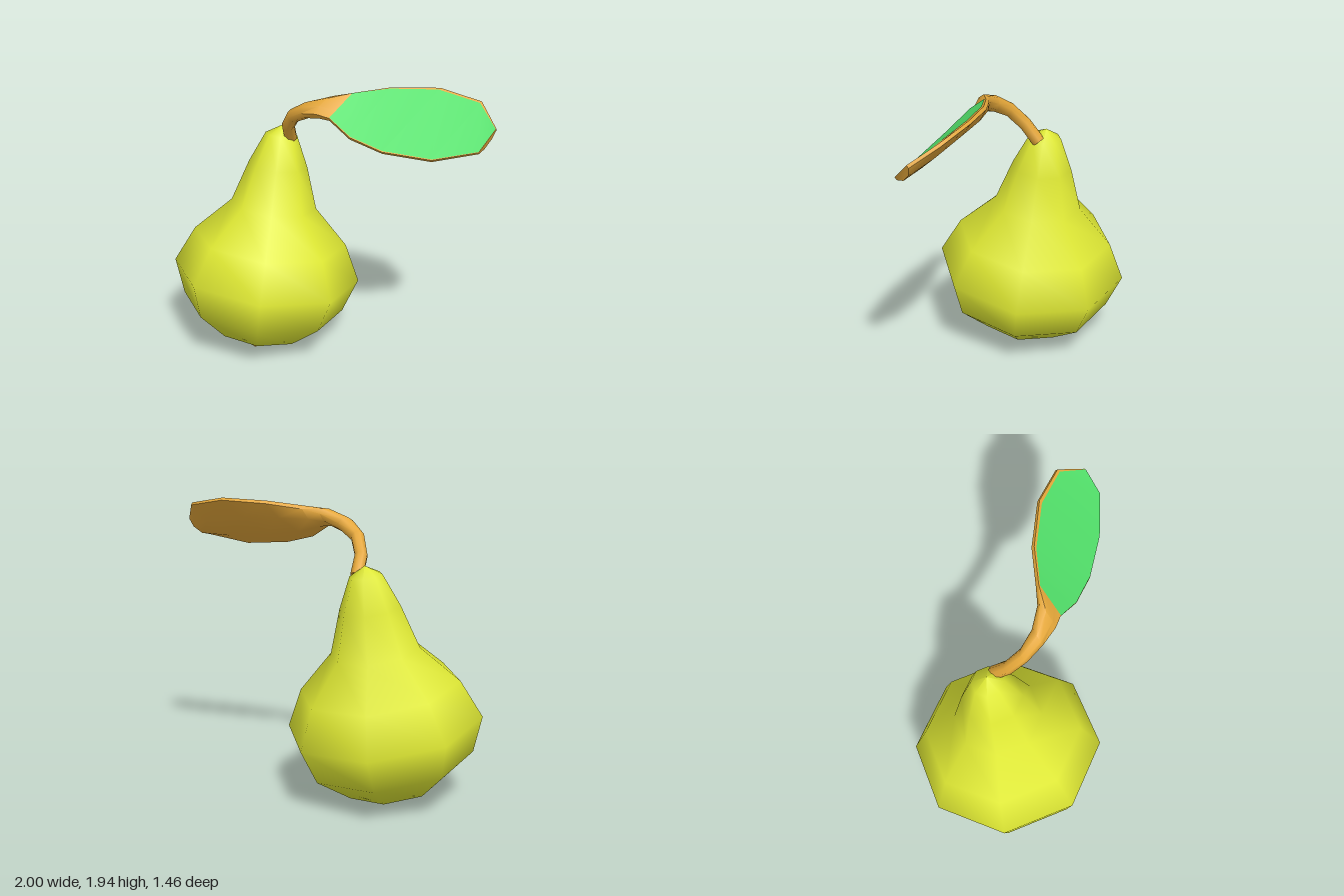
import * as THREE from 'three';
import { toCreasedNormals } from 'three/addons/utils/BufferGeometryUtils.js';

const V = (x, y, z) => new THREE.Vector3(x, y, z);

const skin = new THREE.MeshStandardMaterial({ color: 0xdfe934 });
const wood = new THREE.MeshStandardMaterial({ color: 0xe6a83a });
const green = new THREE.MeshStandardMaterial({ color: 0x52e06a });

function add(parent, name, geometry, material) {
  const mesh = new THREE.Mesh(geometry, material);
  mesh.name = name;
  parent.add(mesh);
  return mesh;
}

function indexed(points, index) {
  const g = new THREE.BufferGeometry().setFromPoints(points);
  g.setIndex(index);
  g.computeVertexNormals();
  return g;
}

// Cross-sections of stalk and leaf: upper edge a, lower edge b,
// bulge on the front (tf) and on the back (tb)
function stalkSections() {
  const across = V(0, 0.53, -0.85);
  const round = (x, y, z, r, t) => ({
    a: V(x, y, z).addScaledVector(across, r),
    b: V(x, y, z).addScaledVector(across, -r), tf: t, tb: t,
  });
  const flat = (a, b, tb) => ({ a: V(...a), b: V(...b), tf: 0, tb });
  return [
    round(-0.28, 1.5, -0.08, 0.04, 0.04),
    round(-0.22, 1.615, -0.01, 0.04, 0.04),
    round(-0.12, 1.72, 0.025, 0.042, 0.042),
    round(0, 1.785, 0.012, 0.054, 0.048),
    round(0.12, 1.825, -0.04, 0.085, 0.045),
    flat([0.2, 1.905, -0.2], [0.2, 1.78, 0], 0.07),
    flat([0.34, 1.935, -0.4], [0.36, 1.69, -0.03], 0.06),
    flat([0.57, 1.945, -0.61], [0.56, 1.63, -0.12], 0.05),
    flat([0.82, 1.895, -0.72], [0.81, 1.605, -0.3], 0.05),
    flat([1, 1.78, -0.66], [1, 1.66, -0.51], 0.05),
  ];
}

// Adds centre, half width and front normal to each section
function frameSections(sections) {
  for (const s of sections) {
    s.c = s.a.clone().add(s.b).multiplyScalar(0.5);
    s.w = s.a.clone().sub(s.c);
  }
  sections.forEach((s, i) => {
    const prev = sections[Math.max(i - 1, 0)];
    const next = sections[Math.min(i + 1, sections.length - 1)];
    s.n = next.c.clone().sub(prev.c).cross(s.w).normalize();
  });
  return sections;
}

function loft(sections, sides = 8) {
  const points = [], index = [];
  sections.forEach((s, i) => {
    for (let k = 0; k < sides; k++) {
      const th = ((k + 0.5) / sides) * Math.PI * 2;
      const u = Math.cos(th) / 0.924, v = Math.sin(th) / 0.924;
      points.push(s.c.clone().addScaledVector(s.w, u)
        .addScaledVector(s.n, v * (v > 0 ? s.tf : s.tb)));
      if (i === sections.length - 1) continue;
      const p = i * sides + k, q = i * sides + (k + 1) % sides;
      index.push(p, q, p + sides, q, q + sides, p + sides);
    }
  });
  const last = (sections.length - 1) * sides;
  for (let k = 1; k < sides - 1; k++) {
    index.push(0, k + 1, k, last, last + k, last + k + 1); // end caps
  }
  return toCreasedNormals(indexed(points, index), 0.9);
}

// Green blade lying on the flat front, leaving a thin rim
function blade(sections) {
  const points = [], index = [];
  sections.forEach((s, i) => {
    for (const u of [0.93, -0.98]) {
      points.push(s.c.clone().addScaledVector(s.w, u).addScaledVector(s.n, 0.006));
    }
    if (i < sections.length - 1) {
      const p = i * 2;
      index.push(p, p + 1, p + 3, p, p + 3, p + 2);
    }
  });
  return indexed(points, index);
}

export function createModel() {
  const model = new THREE.Group();
  model.name = 'pear';

  // Fruit leans back slightly
  const fruit = new THREE.Group();
  fruit.name = 'fruit';
  fruit.position.set(-0.35, 0, 0.168);
  fruit.rotation.set(-0.147, 0.046, 0);
  model.add(fruit);

  const profile = [
    [0, 0.15], [0.334, 0.09], [0.566, 0.288], [0.65, 0.53], [0.53, 0.784],
    [0.293, 1.026], [0.2, 1.314], [0.107, 1.527], [0, 1.59],
  ].map(([r, y]) => new THREE.Vector2(r, y));
  add(fruit, 'body', new THREE.LatheGeometry(profile, 8), skin);

  // Square hollow calyx under the fruit
  const square = (Shape, h) => new Shape([
    [-h, -h], [h, -h], [h, h], [-h, h],
  ].map(([x, y]) => new THREE.Vector2(x, y)));
  const shape = square(THREE.Shape, 0.125);
  shape.holes.push(square(THREE.Path, 0.06));
  const calyx = new THREE.Group();
  calyx.name = 'calyx';
  calyx.position.set(-0.005, 0.016, 0.03);
  calyx.rotation.y = 0.05;
  fruit.add(calyx);
  add(calyx, 'calyxRim', new THREE.ExtrudeGeometry(shape, { depth: 0.12, bevelEnabled: false })
    .rotateX(-Math.PI / 2), wood);
  add(calyx, 'calyxFloor', new THREE.BoxGeometry(0.12, 0.04, 0.12).translate(0, 0.07, 0), wood);

  // Stalk flaring into the leaf
  const sections = frameSections(stalkSections());
  add(model, 'stalk', loft(sections), wood);
  add(model, 'leaf', blade(sections.slice(5)), green);

  return model;
}
